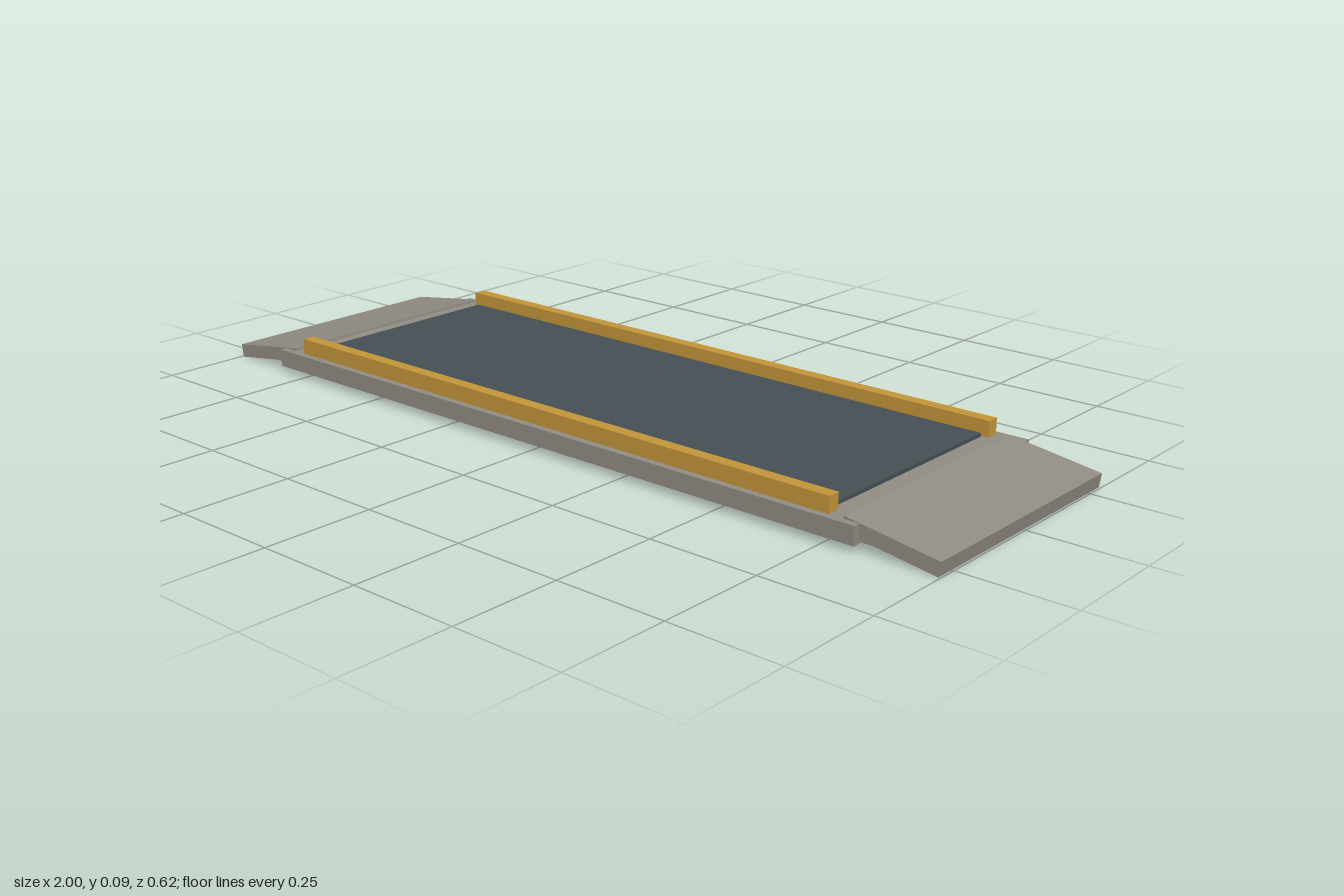
import * as THREE from 'three';

export function createModel() {
  const model = new THREE.Group();
  model.name = 'rampPlatform';

  const paint = (name, color) => {
    const m = new THREE.MeshStandardMaterial({ color });
    m.name = name;
    return m;
  };
  const concrete = paint('warm grey concrete', 0x928d84);
  const rubber = paint('dark slate rubber', 0x465054);
  const ochre = paint('ochre yellow', 0xc4963a);

  const box = (name, size, pos, material) => {
    const mesh = new THREE.Mesh(new THREE.BoxGeometry(...size), material);
    mesh.name = name;
    mesh.position.set(...pos);
    model.add(mesh);
    return mesh;
  };

  // Flat deck with a thin mat on top
  box('deck', [1.65, 0.04, 0.62], [0, 0.036, 0], concrete);
  box('mat', [1.484, 0.008, 0.52], [0, 0.06, 0], rubber);

  // Kerb rails along both long edges
  for (const side of [1, -1]) {
    const name = side > 0 ? 'frontRail' : 'backRail';
    box(name, [1.514, 0.036, 0.029], [0, 0.074, side * 0.2795], ochre);
  }

  // Sloped entry plates, one at each end
  const tilt = 0.147, length = 0.212, thick = 0.0313;
  const reach = (length * Math.cos(tilt) + thick * Math.sin(tilt)) / 2;
  const rise = (length * Math.sin(tilt) + thick * Math.cos(tilt)) / 2;
  for (const side of [1, -1]) {
    const name = side > 0 ? 'leftRamp' : 'rightRamp';
    const ramp = box(name, [length, thick, 0.588], [side * (1 - reach), rise, 0], concrete);
    ramp.rotation.z = -side * tilt;
  }

  return model;
}
